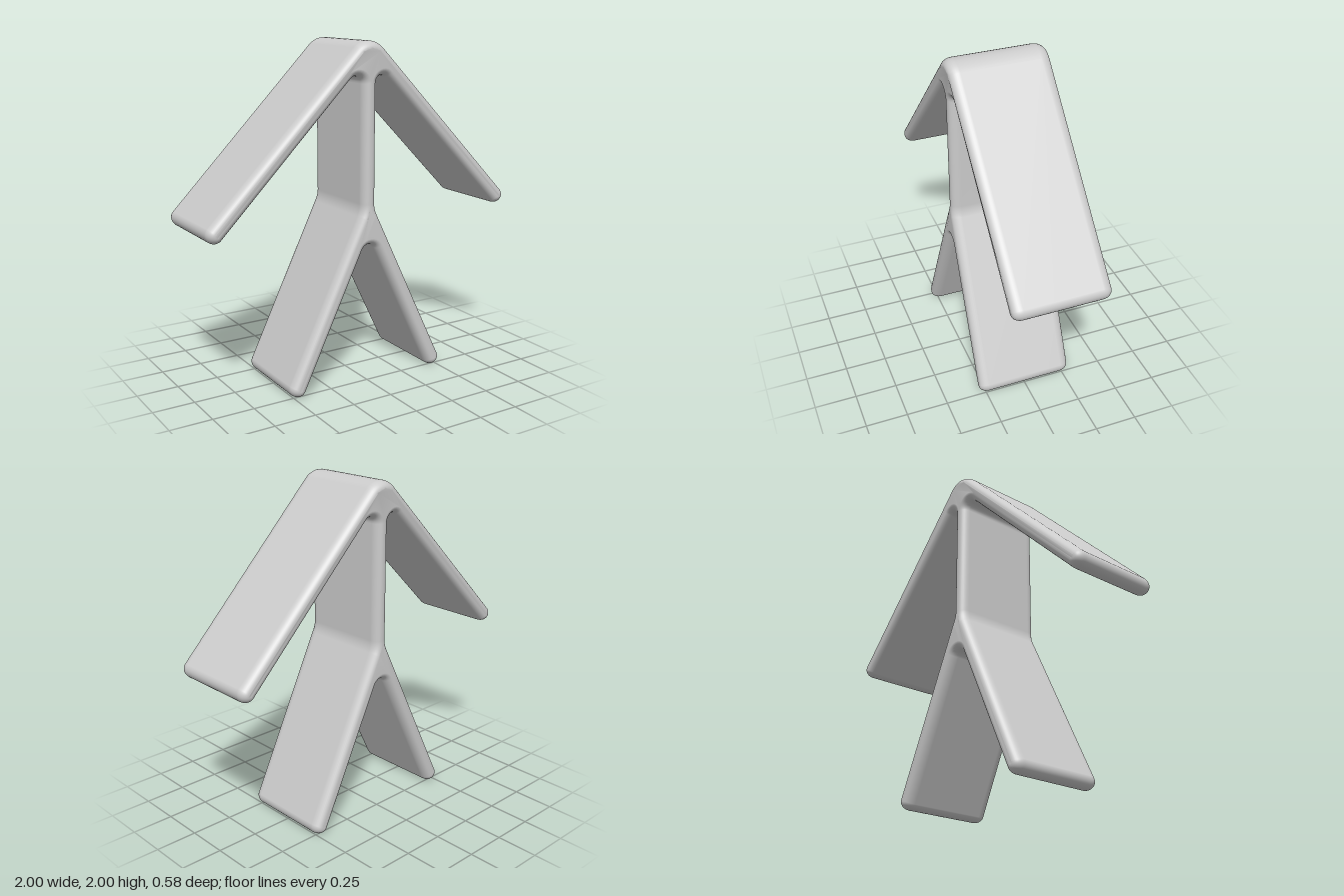
import * as THREE from 'three';
import { mergeVertices } from 'three/addons/utils/BufferGeometryUtils.js';

const BEVEL = 0.04;      // rounds the plates to their full thickness
const BEVEL_Z = 0.055;
const HALF_DEPTH = 0.281;

// Replaces each corner [x, y, radius] of a closed outline by an arc
function roundedOutline(corners, steps = 10) {
  const points = [];
  corners.forEach(([x, y, radius], i) => {
    const c = new THREE.Vector2(x, y);
    const [px, py] = corners[(i + corners.length - 1) % corners.length];
    const [nx, ny] = corners[(i + 1) % corners.length];
    const a = new THREE.Vector2(px, py).sub(c).normalize();
    const b = new THREE.Vector2(nx, ny).sub(c).normalize();
    const half = Math.acos(a.dot(b)) / 2;
    const centre = a.clone().add(b).normalize().multiplyScalar(radius / Math.sin(half)).add(c);
    const tangent = radius / Math.tan(half);
    const from = a.multiplyScalar(tangent).add(c).sub(centre);
    const to = b.multiplyScalar(tangent).add(c).sub(centre);
    const start = from.angle();
    let sweep = to.angle() - start;
    if (sweep > Math.PI) sweep -= 2 * Math.PI;
    if (sweep < -Math.PI) sweep += 2 * Math.PI;
    for (let k = 0; k <= steps; k++) {
      const t = start + (sweep * k) / steps;
      points.push(new THREE.Vector2(centre.x + radius * Math.cos(t), centre.y + radius * Math.sin(t)));
    }
  });
  return points;
}

export function createModel() {
  const group = new THREE.Group();
  group.name = 'branchedFigure';
  const grey = new THREE.MeshStandardMaterial({ color: 0xcccccc });
  grey.name = 'light grey';

  // Core outline of the +x half, from the apex to the crotch
  const side = [
    [0.964, 1.025, 0.0095], [0.950, 1.011, 0.0095], // arm end
    [0.004, 1.966, 0.082],                          // hollow between arm and stem
    [0.004, 1.034, 0.2],                            // stem flows into leg
    [0.483, 0.046, 0.0095], [0.465, 0.037, 0.0095], // leg end
  ];
  const mirrored = side.map(([x, y, r]) => [-x, y, r]).reverse();
  const outline = [[0, 1.998, 0.09], ...side, [0, 0.997, 0.09], ...mirrored];

  const depth = 2 * (HALF_DEPTH - BEVEL_Z);
  let body = new THREE.ExtrudeGeometry(new THREE.Shape(roundedOutline(outline)), {
    depth, bevelEnabled: true, bevelSize: BEVEL, bevelThickness: BEVEL_Z, bevelSegments: 8,
  });
  body.translate(0, 0, -depth / 2);

  // Slight swelling in depth at the apex and along the legs
  const p = body.attributes.position;
  for (let i = 0; i < p.count; i++) {
    const x = p.getX(i), y = p.getY(i);
    const apex = Math.exp(-(x * x + (y - 1.92) ** 2) / 0.015);
    const legs = THREE.MathUtils.smoothstep(1.08 - y, 0, 0.12) * (Math.abs(x) < 0.55 ? 1 : 0);
    p.setZ(i, p.getZ(i) * (1 + 0.04 * apex + 0.025 * legs * (y < 1 || Math.abs(x) < 0.3 ? 1 : 0)));
  }

  // Smooth shading over the whole surface
  body.deleteAttribute('normal');
  body.deleteAttribute('uv');
  body.clearGroups();
  body = mergeVertices(body, 1e-5);
  body.computeVertexNormals();

  const mesh = new THREE.Mesh(body, grey);
  mesh.name = 'armsStemAndLegs';
  group.add(mesh);
  return group;
}
